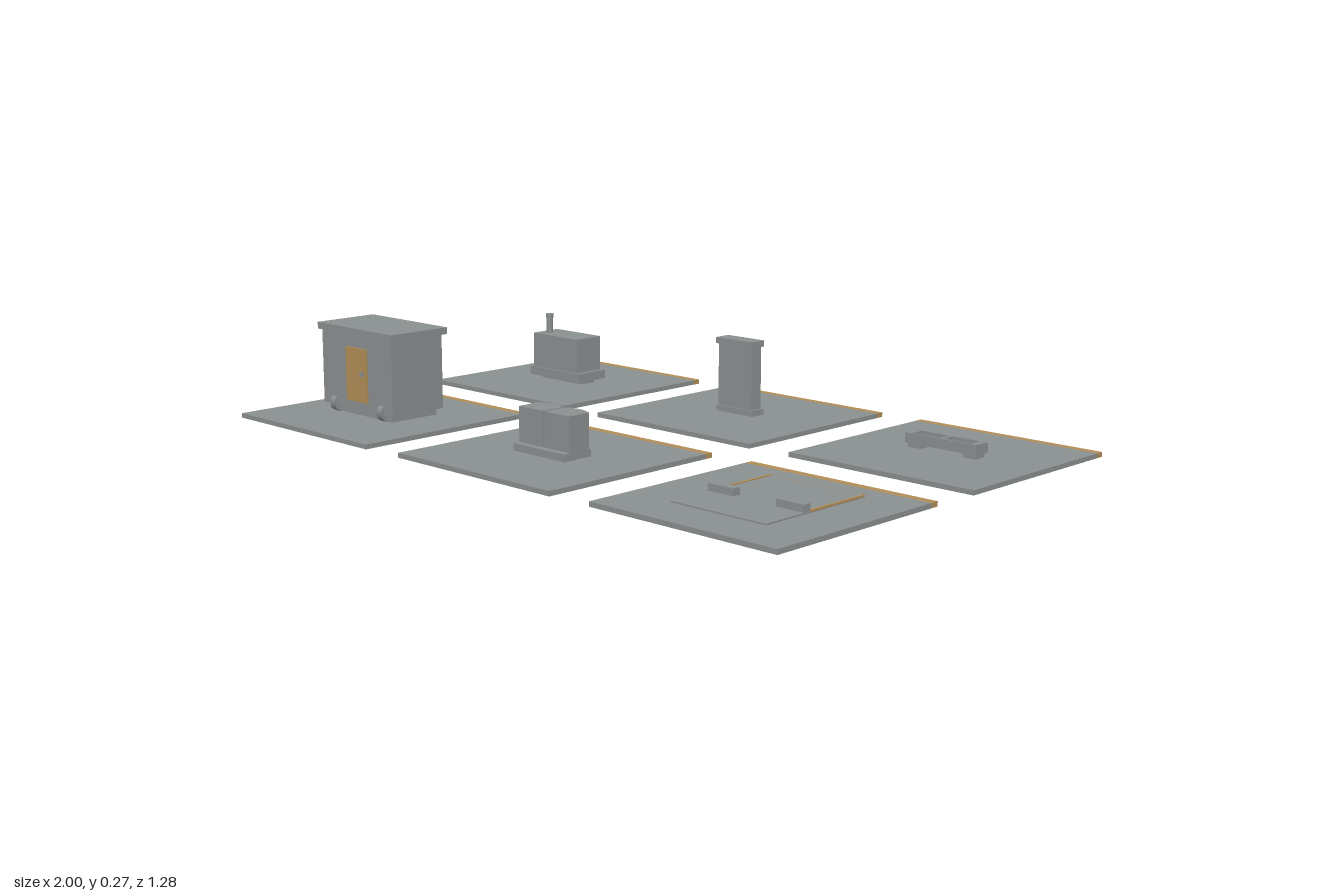
import * as THREE from 'three';

const stone = new THREE.MeshStandardMaterial({ color: 0x8a8f90 });
stone.name = 'stone grey';
const brass = new THREE.MeshStandardMaterial({ color: 0xb08d57 });
brass.name = 'brass tan';

const GROUND = 0.013;

// Box given by its extents on each axis
function box(parent, name, [x0, x1], [y0, y1], [z0, z1], mat = stone) {
  const m = new THREE.Mesh(new THREE.BoxGeometry(x1 - x0, y1 - y0, z1 - z0), mat);
  m.position.set((x0 + x1) / 2, (y0 + y1) / 2, (z0 + z1) / 2);
  m.name = name;
  parent.add(m);
  return m;
}

function cylinder(parent, name, r, h, x, y, z, alongX = false) {
  const m = new THREE.Mesh(new THREE.CylinderGeometry(r, r, h, 20), stone);
  m.position.set(x, y, z);
  if (alongX) m.rotation.z = Math.PI / 2;
  m.name = name;
  parent.add(m);
  return m;
}

function group(root, name) {
  const g = new THREE.Group();
  g.name = name;
  root.add(g);
  return g;
}

// Base tiles with a tan strip along the back edge
function buildTiles(root) {
  for (const x of [-0.712, 0, 0.712]) {
    for (const z of [-0.356, 0.356]) {
      const g = group(root, 'tile');
      const xs = [x - 0.288, x + 0.288];
      box(g, 'tileSlab', xs, [0, GROUND], [z - 0.26, z + 0.284]);
      box(g, 'tileBackStrip', xs, [0, GROUND], [z - 0.284, z - 0.26], brass);
    }
  }
}

// Cabin with overhanging roof, doors and four wheels
function buildCabin(root) {
  const g = group(root, 'cabin');
  box(g, 'cabinBody', [-0.872, -0.558], [0.037, 0.25], [0.269, 0.446]);
  box(g, 'cabinRoof', [-0.882, -0.546], [0.248, 0.267], [0.259, 0.454]);
  box(g, 'cabinBase', [-0.858, -0.574], [0.018, 0.037], [0.28, 0.435]);
  box(g, 'frontDoor', [-0.757, -0.666], [0.06, 0.212], [0.446, 0.452], brass);
  box(g, 'doorHandle', [-0.69, -0.678], [0.135, 0.147], [0.452, 0.457]);
  box(g, 'backDoor', [-0.757, -0.666], [0.06, 0.212], [0.263, 0.269]);
  for (const x of [-0.822, -0.608]) {
    for (const z of [0.287, 0.428]) {
      cylinder(g, 'wheel', 0.027, 0.022, x, 0.042, z, true);
    }
  }
  for (const x of [-0.79, -0.645]) box(g, 'cabinFoot', [x - 0.01, x + 0.01], [GROUND, 0.018], [0.3, 0.42]);
}

// Pair of cabinets with bowed backs on a shared step
function buildCabinets(root) {
  const g = group(root, 'cabinets');
  box(g, 'frontStep', [-0.096, 0.096], [GROUND, 0.033], [0.32, 0.413]);
  for (const side of [-1, 1]) {
    // Plan outline: shape y becomes -z after the turn
    const s = new THREE.Shape();
    s.moveTo(side * 0.004, -0.394);
    s.lineTo(side * 0.095, -0.394);
    s.lineTo(side * 0.095, -0.325);
    s.quadraticCurveTo(side * 0.05, -0.3, side * 0.004, -0.322);
    s.closePath();
    const geo = new THREE.ExtrudeGeometry(s, { depth: 0.115, bevelEnabled: false, curveSegments: 12 });
    geo.rotateX(-Math.PI / 2);
    const m = new THREE.Mesh(geo, stone);
    m.position.y = GROUND;
    m.name = 'cabinet';
    g.add(m);
  }
  box(g, 'cabinetJoint', [-0.004, 0.004], [GROUND, 0.122], [0.325, 0.388]);
}

// Flat platform with two blocks and tan edging
function buildPlatform(root) {
  const g = group(root, 'platform');
  box(g, 'platformPlate', [0.565, 0.858], [GROUND, 0.017], [0.167, 0.514]);
  for (const x of [0.568, 0.856]) {
    box(g, 'sideRail', [x - 0.003, x + 0.003], [0.015, 0.02], [0.165, 0.362], brass);
  }
  box(g, 'backEdge', [0.565, 0.858], [GROUND, 0.017], [0.165, 0.167], brass);
  for (const x of [0.602, 0.816]) {
    box(g, 'platformBlock', [x - 0.041, x + 0.041], [GROUND, 0.036], [0.36, 0.384]);
  }
}

// Stove on a plinth with a chimney
function buildStove(root) {
  const g = group(root, 'stove');
  box(g, 'stoveFoot', [-0.8, -0.625], [GROUND, 0.026], [-0.382, -0.328]);
  box(g, 'stovePlinth', [-0.823, -0.605], [0.025, 0.051], [-0.41, -0.298]);
  box(g, 'stoveBody', [-0.812, -0.618], [0.05, 0.155], [-0.402, -0.304]);
  box(g, 'stovePanel', [-0.71, -0.628], [0.11, 0.145], [-0.408, -0.402], brass);
  cylinder(g, 'chimney', 0.01, 0.06, -0.78, 0.183, -0.342);
  cylinder(g, 'chimneyCap', 0.012, 0.012, -0.78, 0.208, -0.342);
}

// Upright pillar with rows of pegs on the back
function buildPillar(root) {
  const g = group(root, 'pillar');
  box(g, 'pillarBase', [-0.068, 0.066], [GROUND, 0.03], [-0.382, -0.332]);
  box(g, 'pillarBody', [-0.064, 0.06], [0.03, 0.21], [-0.376, -0.336]);
  box(g, 'pillarCap', [-0.07, 0.066], [0.208, 0.225], [-0.382, -0.33]);
  for (const y of [0.06, 0.095, 0.13, 0.165]) {
    for (const x of [-0.038, -0.002, 0.034]) {
      box(g, 'peg', [x - 0.012, x + 0.012], [y - 0.006, y + 0.006], [-0.385, -0.376], brass);
    }
  }
}

// Low trough with raised rims and a divider
function buildTrough(root) {
  const g = group(root, 'trough');
  const xs = [0.6, 0.823];
  box(g, 'troughFloor', xs, [0.025, 0.04], [-0.384, -0.332]);
  for (const z of [-0.384, -0.338]) box(g, 'troughRim', xs, [0.038, 0.052], [z, z + 0.006]);
  for (const [a, b] of [[0.6, 0.62], [0.707, 0.717], [0.803, 0.823]]) {
    box(g, 'troughDivider', [a, b], [0.038, 0.052], [-0.38, -0.336]);
  }
  for (const x of [0.625, 0.798]) box(g, 'troughFoot', [x - 0.02, x + 0.02], [GROUND, 0.026], [-0.378, -0.338]);
}

export function createModel() {
  const root = new THREE.Group();
  root.name = 'tileSet';
  [buildTiles, buildCabin, buildCabinets, buildPlatform, buildStove, buildPillar, buildTrough].forEach((f) => f(root));
  return root;
}
